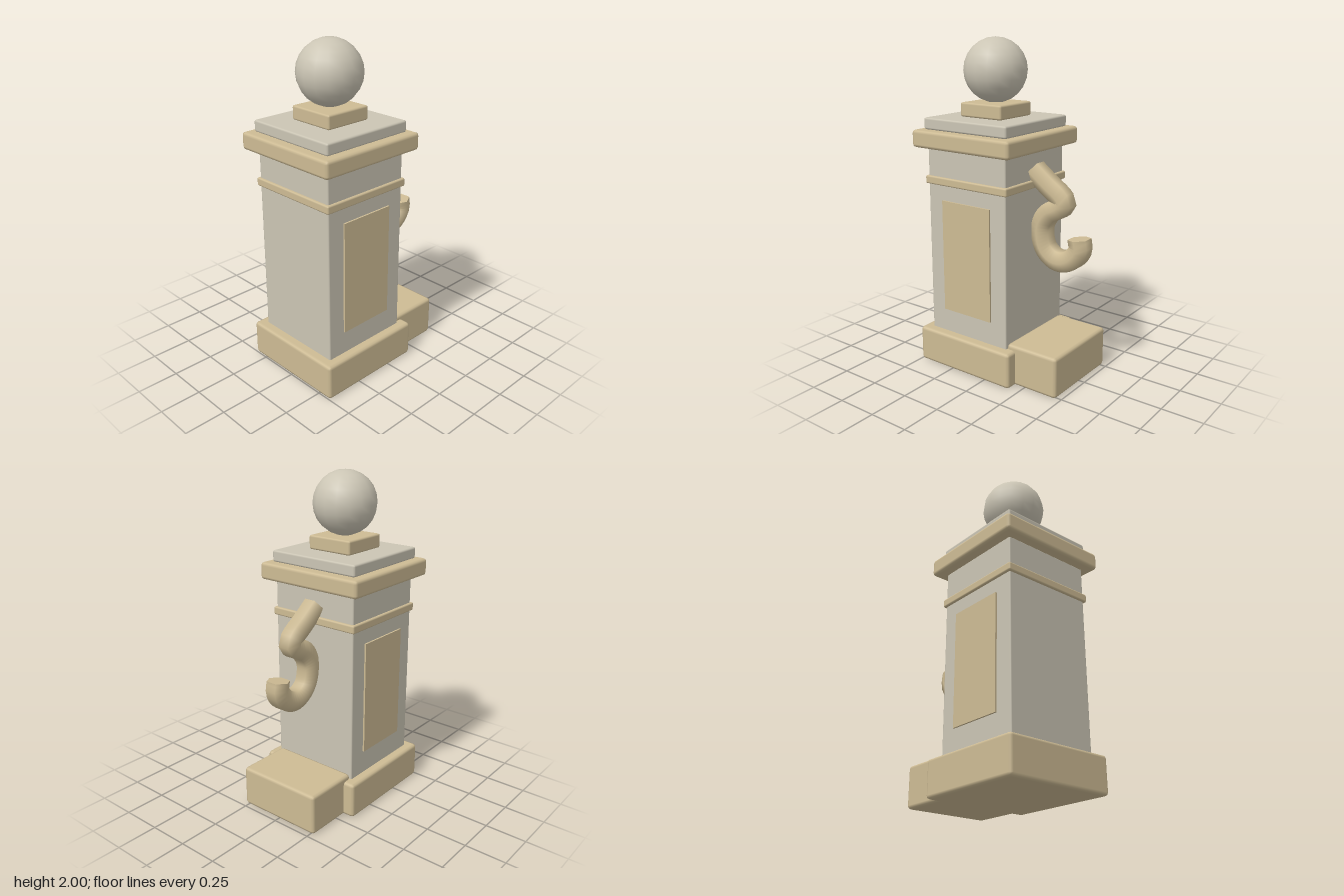
import * as THREE from 'three';
import { RoundedBoxGeometry } from 'three/addons/geometries/RoundedBoxGeometry.js';

const CX = -0.155; // pillar axis

export function createModel() {
  const model = new THREE.Group();
  model.name = 'stonePillarWithHook';
  const tan = new THREE.MeshStandardMaterial({ color: 0xcdbb94 });
  tan.name = 'tan stone';
  const grey = new THREE.MeshStandardMaterial({ color: 0xcbc5b4 });
  grey.name = 'grey stone';

  const add = (name, geometry, material, x, y, z) => {
    const mesh = new THREE.Mesh(geometry, material);
    mesh.name = name;
    mesh.position.set(x, y, z);
    model.add(mesh);
    return mesh;
  };
  // Chamfered block from y0 to y1
  const block = (name, material, x, w, d, y0, y1, bevel) =>
    add(name, new RoundedBoxGeometry(w, y1 - y0, d, 1, bevel), material, x, (y0 + y1) / 2, 0);

  // Stacked pillar
  block('base', tan, CX, 0.69, 0.69, 0, 0.22, 0.02);
  block('shaft', grey, CX, 0.575, 0.575, 0.2, 1.37, 0.008);
  block('band', tan, CX, 0.605, 0.605, 1.145, 1.195, 0.01);
  block('cornice', tan, CX, 0.71, 0.71, 1.365, 1.47, 0.02);
  block('capSlab', grey, CX, 0.605, 0.605, 1.47, 1.54, 0.012);
  block('ballPlinth', tan, CX, 0.3, 0.3, 1.54, 1.625, 0.012);
  add('ball', new THREE.SphereGeometry(0.19, 16, 12), grey, CX, 1.81, 0);

  // Step on the left side
  block('sideStep', tan, 0.3, 0.345, 0.55, 0, 0.25, 0.02);

  // Panels on the front and back of the shaft
  for (const s of [1, -1]) {
    add(s > 0 ? 'frontPanel' : 'backPanel',
      new THREE.BoxGeometry(0.355, 0.69, 0.02), tan, CX, 0.71, s * 0.288);
  }

  // S-shaped hook: a six-sided tube with closed ends
  const path = new THREE.CatmullRomCurve3([
    [0.13, 1.25], [0.235, 1.17], [0.315, 1.113], [0.338, 1.078], [0.305, 1.045],
    [0.24, 1.01], [0.195, 0.945], [0.188, 0.876], [0.214, 0.79], [0.278, 0.738],
    [0.347, 0.733], [0.41, 0.765], [0.45, 0.823], [0.442, 0.886],
  ].map(([x, y]) => new THREE.Vector3(x, y, 0)));
  const R = 0.069;
  add('hook', new THREE.TubeGeometry(path, 40, R, 6, false), tan, 0, 0, 0);
  for (const t of [0, 1]) {
    const end = path.getPointAt(t);
    const out = path.getTangentAt(t).multiplyScalar(t ? 1 : -1);
    const cap = add('hookEnd', new THREE.CircleGeometry(R, 6), tan, end.x, end.y, end.z);
    // Cap faces along the path with two corners on the z axis
    const x = new THREE.Vector3(0, 0, 1);
    const y = new THREE.Vector3().crossVectors(out, x);
    cap.quaternion.setFromRotationMatrix(new THREE.Matrix4().makeBasis(x, y, out));
  }
  return model;
}
